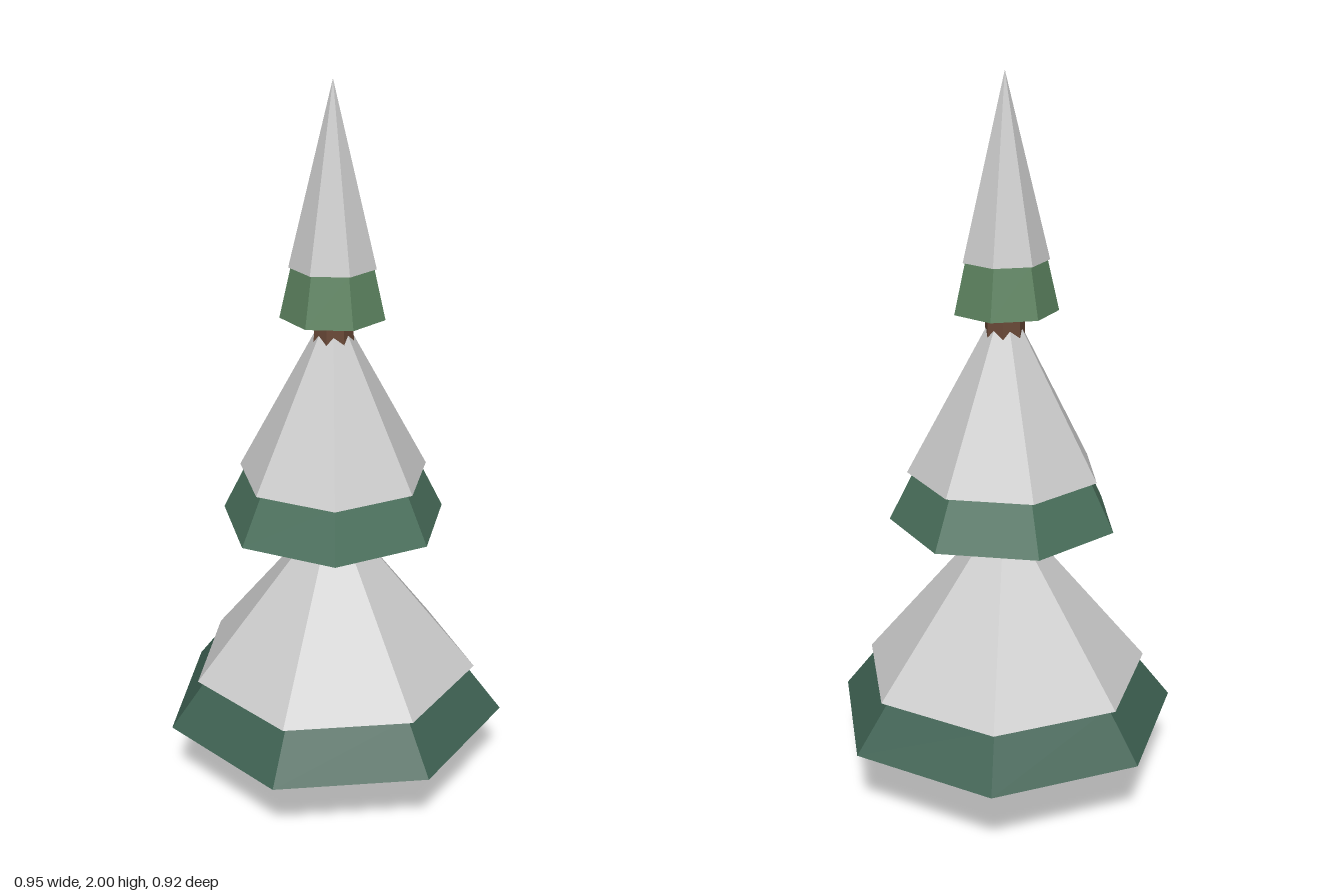
import * as THREE from 'three';

const SIDES = 7;
const material = (color) => new THREE.MeshStandardMaterial({ color, flatShading: true });

// Seven-sided frustum or cone standing between two heights
function frustum(name, rBottom, rTop, y0, y1, turn, mat) {
  const geometry = new THREE.CylinderGeometry(rTop, rBottom, y1 - y0, SIDES);
  const mesh = new THREE.Mesh(geometry, mat);
  mesh.name = name;
  mesh.position.y = (y0 + y1) / 2;
  mesh.rotation.y = THREE.MathUtils.degToRad(turn);
  return mesh;
}

export function createModel() {
  const model = new THREE.Group();
  model.name = 'snowyPineTree';
  const snow = material(0xcccccc);

  // Tapered trunk running up into the top tier
  model.add(frustum('trunk', 0.082, 0.051, 0, 1.5, 0, material(0x6b4a38)));

  // Tiers: a green skirt with an overhanging snow cone, each turned further
  const tiers = [
    { name: 'lower', y: 0.21, r: 0.485, snowY: 0.345, snowR: 0.405, tip: 0.84, turn: 0, color: 0x3e6152 },
    { name: 'middle', y: 0.8, r: 0.315, snowY: 0.935, snowR: 0.265, tip: 1.43, turn: 20.4, color: 0x4a705c },
    { name: 'top', y: 1.385, r: 0.143, snowY: 1.52, snowR: 0.118, tip: 2, turn: 40.8, color: 0x5c825f },
  ];
  for (const t of tiers) {
    const tier = new THREE.Group();
    tier.name = `${t.name}Tier`;
    const skirtTop = t.r * (t.tip - t.snowY) / (t.tip - t.y);
    tier.add(frustum(`${t.name}Branches`, t.r, skirtTop, t.y, t.snowY + 0.001, t.turn, material(t.color)));
    tier.add(frustum(`${t.name}Snow`, t.snowR, 0, t.snowY, t.tip, t.turn, snow));
    model.add(tier);
  }

  // Centre the heptagonal footprint in depth
  model.position.z = -0.024;
  const root = new THREE.Group();
  root.name = 'tree';
  root.add(model);
  return root;
}
